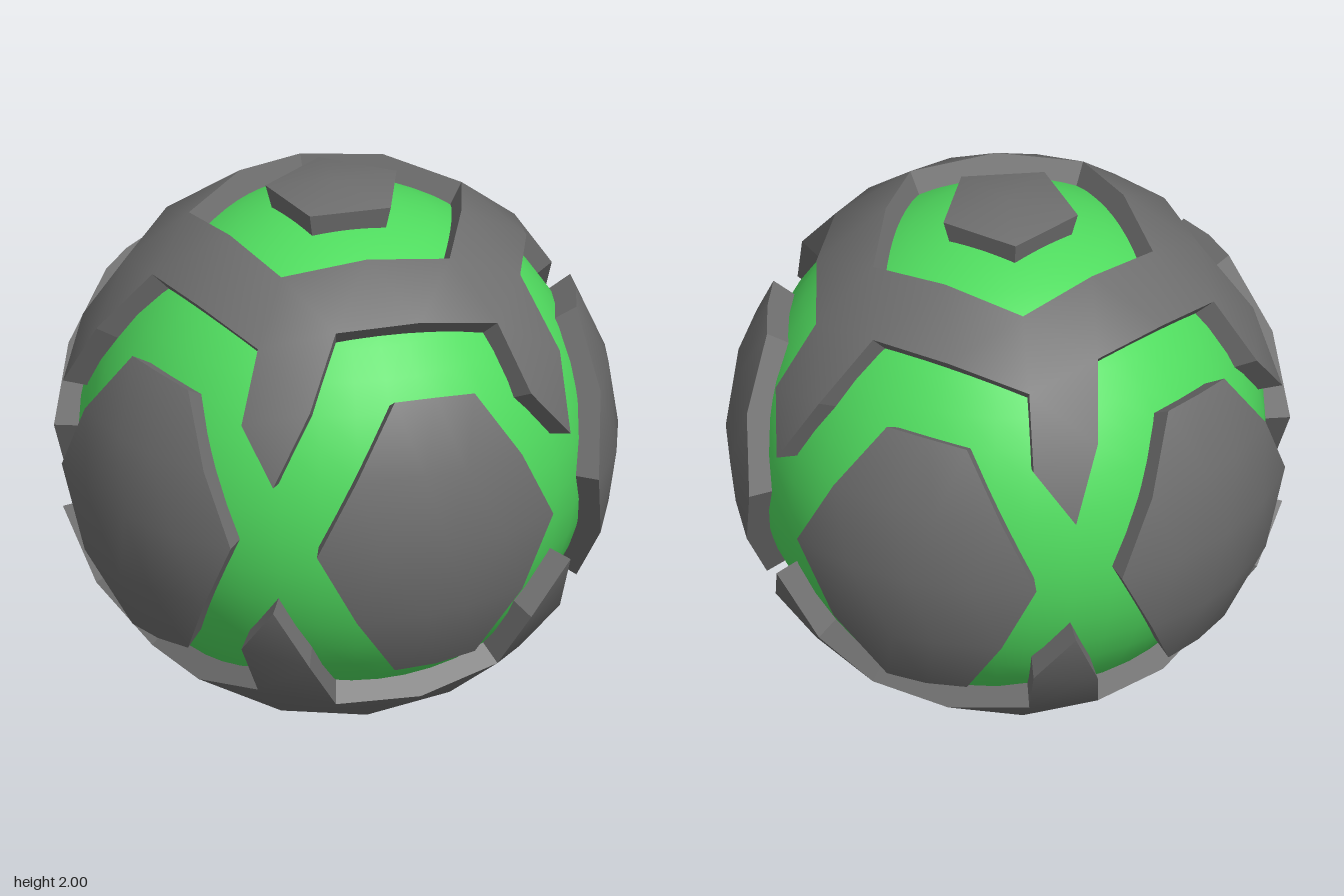
import * as THREE from 'three';

const STEP = 72;
const OUTER = 1;
const INNER = 0.895;

// Unit direction from a plan angle in degrees and a height on the sphere
function dir(deg, y) {
  const a = THREE.MathUtils.degToRad(deg), r = Math.sqrt(1 - y * y);
  return new THREE.Vector3(r * Math.cos(a), y, r * Math.sin(a));
}

const mid = (a, b) => a.clone().add(b).normalize();

// Split each spherical triangle into four
function subdivide(tris) {
  return tris.flatMap(([a, b, c]) => {
    const ab = mid(a, b), bc = mid(b, c), ca = mid(c, a);
    return [[a, ab, ca], [ab, b, bc], [ca, bc, c], [ab, bc, ca]];
  });
}

// Curved plate: smooth outer skin plus flat walls along its open border
function plateGeometry(tris) {
  const pos = [], nor = [], edges = new Map();
  const key = v => [v.x, v.y, v.z].map(n => Math.round(n * 1e4)).join();
  const push = (p, n) => { pos.push(p.x, p.y, p.z); nor.push(n.x, n.y, n.z); };

  for (let [a, b, c] of tris) {
    const face = b.clone().sub(a).cross(c.clone().sub(a));
    if (face.dot(a) < 0) [b, c] = [c, b];
    for (const v of [a, b, c]) push(v.clone().multiplyScalar(OUTER), v);
    for (const [p, q] of [[a, b], [b, c], [c, a]]) edges.set(key(p) + '|' + key(q), [p, q]);
  }
  for (const [p, q] of edges.values()) {
    if (edges.has(key(q) + '|' + key(p))) continue;
    const n = q.clone().sub(p).cross(p).normalize();
    const [pi, qi] = [p, q].map(v => v.clone().multiplyScalar(INNER));
    const [po, qo] = [p, q].map(v => v.clone().multiplyScalar(OUTER));
    for (const v of [pi, qi, qo, pi, qo, po]) push(v, n);
  }
  const g = new THREE.BufferGeometry();
  g.setAttribute('position', new THREE.Float32BufferAttribute(pos, 3));
  g.setAttribute('normal', new THREE.Float32BufferAttribute(nor, 3));
  return g;
}

// Triangles from a centre to every side of a closed outline
const fan = (centre, pts) => pts.map((p, i) => [centre, p, pts[(i + 1) % pts.length]]);

// Pentagon cap at a pole
function capTriangles(s) {
  const pts = [0, 1, 2, 3, 4].map(k => dir(k * STEP, s * 0.968));
  return fan(new THREE.Vector3(0, s, 0), pts);
}

// Collar around a pole: pentagonal opening inside, five pointed prongs outside
function collarTriangles(s) {
  const tris = [];
  for (let k = 0; k < 5; k++) {
    const at = (deg, y) => dir(deg + k * STEP, s * y);
    const in0 = at(0, 0.853), in1 = at(72, 0.853), inMid = mid(in0, in1);
    const a = at(0, 0.67), b = at(50.2, 0.73), ab = mid(a, b);
    const c = at(56.3, 0.5), tip = at(63.4, 0.247), d = at(72, 0.44), e = at(72, 0.67);
    tris.push([in0, a, ab], [in0, ab, inMid], [inMid, ab, b], [inMid, b, in1],
      [in1, b, e], [b, c, e], [c, d, e], [c, tip, d]);
  }
  return tris;
}

// Hexagonal plate on the equator
function hexTriangles(turn) {
  const pts = [[0, 0], [15.5, 0.507], [36, 0.527], [54, 0], [36, -0.527], [15.5, -0.507]]
    .map(([deg, y]) => dir(deg + turn, y));
  return subdivide(fan(dir(26.5 + turn, 0), pts));
}

export function createModel() {
  const model = new THREE.Group();
  model.name = 'armouredBall';

  const green = new THREE.MeshStandardMaterial({ color: 0x50dc5f });
  green.name = 'brightGreen';
  const grey = new THREE.MeshStandardMaterial({ color: 0x6e6e6e });
  grey.name = 'plateGrey';

  const add = (name, geometry, material) => {
    const mesh = new THREE.Mesh(geometry, material);
    mesh.name = name;
    mesh.position.y = 1;
    model.add(mesh);
  };

  // Inner core
  add('core', new THREE.SphereGeometry(0.912, 40, 24), green);

  // Pole caps and pronged collars, mirrored top to bottom
  for (const [label, s] of [['top', 1], ['bottom', -1]]) {
    add(label + 'Cap', plateGeometry(capTriangles(s)), grey);
    add(label + 'Collar', plateGeometry(collarTriangles(s)), grey);
  }

  // Five side plates
  for (let k = 0; k < 5; k++) {
    add('sidePlate' + (k + 1), plateGeometry(hexTriangles(k * STEP)), grey);
  }
  return model;
}
